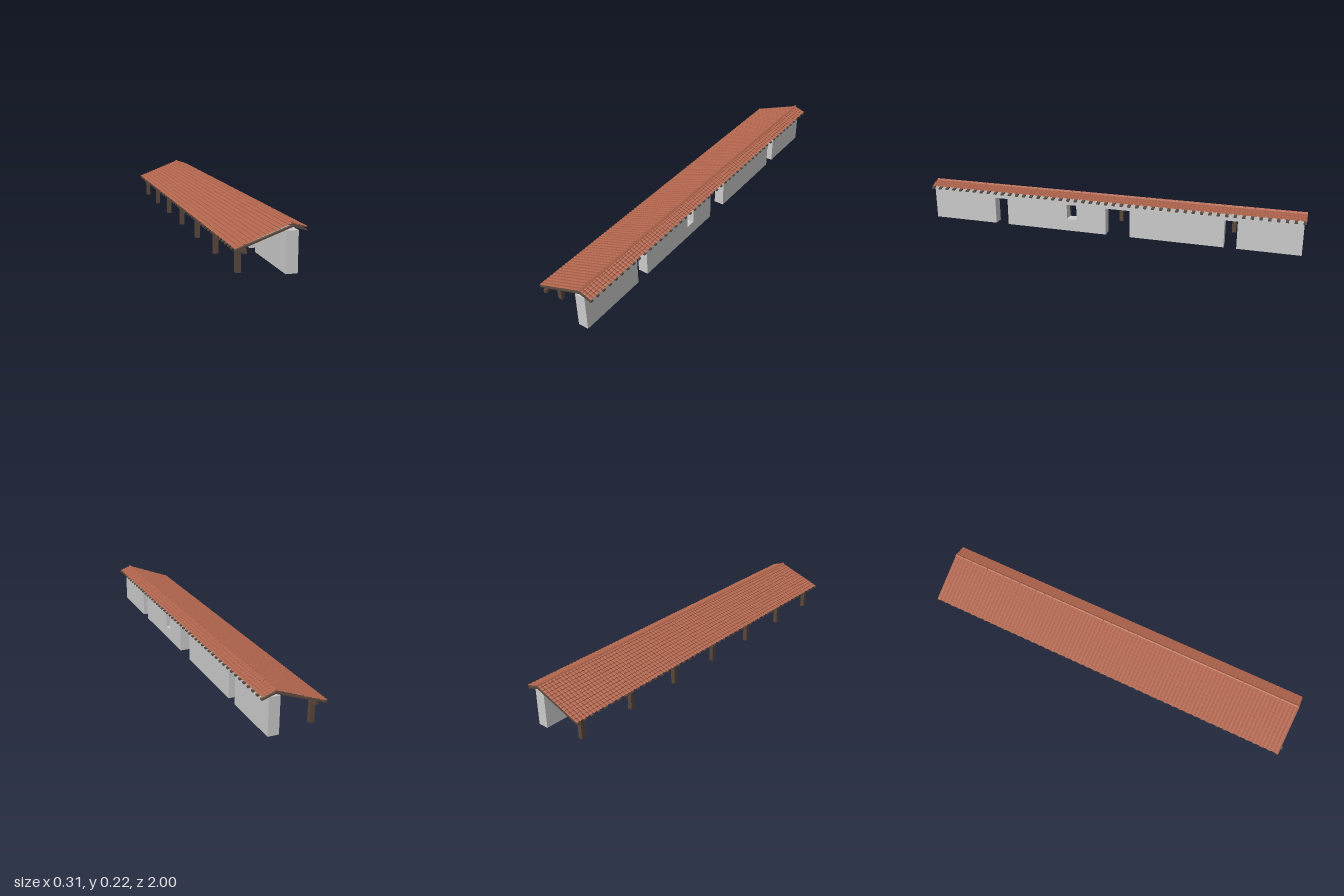
import * as THREE from 'three';

const paint = (color, extra = {}) => new THREE.MeshStandardMaterial({ color, ...extra });

// Flat outline extruded along z between z0 and z1
function slab(points, z0, z1) {
  const shape = new THREE.Shape(points.map(([x, y]) => new THREE.Vector2(x, y)));
  return new THREE.ExtrudeGeometry(shape, { depth: z1 - z0, bevelEnabled: false }).translate(0, 0, z0);
}

// Stepped slope: each course starts flush at its upper edge and lifts at its lower edge
function courses(ridge, eave, count, lift) {
  const pts = [];
  for (let i = 0; i < count; i++) {
    const a = ridge.clone().lerp(eave, i / count);
    const b = ridge.clone().lerp(eave, (i + 1) / count);
    b.y += lift;
    pts.push(a, b);
  }
  return pts;
}

// Barrel-tile sheet: a profile across x, swept along z with rounded ribs
function tileSheet(profile, z0, z1, ribs) {
  const perRib = 4;
  const cols = ribs * perRib, rows = profile.length - 1;
  const geo = new THREE.PlaneGeometry(1, 1, cols, rows);
  const pos = geo.attributes.position;
  for (let r = 0; r <= rows; r++) {
    for (let c = 0; c <= cols; c++) {
      const rib = 0.0035 * Math.sin(Math.PI * (c % perRib) / perRib);
      pos.setXYZ(r * (cols + 1) + c, profile[r].x, profile[r].y + rib, z1 - (z1 - z0) * c / cols);
    }
  }
  geo.computeVertexNormals();
  return geo;
}

export function createModel() {
  const model = new THREE.Group();
  const plaster = paint(0xcccccc);
  const wood = paint(0x5a483c);
  const tile = paint(0xb0644c, { flatShading: true, side: THREE.DoubleSide });
  const add = (name, geo, mat, parent = model) => {
    const mesh = new THREE.Mesh(geo, mat);
    mesh.name = name;
    parent.add(mesh);
    return mesh;
  };

  // Wall with three doorways and one window, drawn as length by height
  const doorTop = 0.144;
  const outline = [[-0.99, 0.18], [-0.99, 0]];
  for (const [a, b] of [[-0.674, -0.61], [-0.123, 0.005], [0.558, 0.63]]) {
    outline.push([a, 0], [a, doorTop], [b, doorTop], [b, 0]);
  }
  outline.push([0.99, 0], [0.99, 0.18]);
  const wall = new THREE.Shape(outline.map(([x, y]) => new THREE.Vector2(x, y)));
  const hole = [[0.166, 0.065], [0.166, doorTop], [0.219, doorTop], [0.219, 0.065]];
  wall.holes.push(new THREE.Path(hole.map(([x, y]) => new THREE.Vector2(x, y))));
  const wallGeo = new THREE.ExtrudeGeometry(wall, { depth: 0.053, bevelEnabled: false });
  add('wall', wallGeo.rotateY(-Math.PI / 2).translate(0.116, 0, 0), plaster);

  // Row of posts carrying a long beam
  const posts = new THREE.Group();
  posts.name = 'posts';
  model.add(posts);
  const postGeo = new THREE.BoxGeometry(0.022, 0.101, 0.022).translate(0, 0.0505, 0);
  for (let i = -3; i <= 3; i++) {
    add('post', postGeo, wood, posts).position.set(-0.1145, 0, -0.018 + 0.309 * i);
  }
  add('beam', new THREE.BoxGeometry(0.016, 0.018, 1.985).translate(-0.114, 0.109, 0.0075), wood);

  // Bent rafters under the tiles
  const rafters = new THREE.Group();
  rafters.name = 'rafters';
  model.add(rafters);
  const rafterGeo = slab([
    [-0.155, 0.107], [0.09, 0.194], [0.153, 0.175],
    [0.153, 0.182], [0.09, 0.201], [-0.155, 0.114],
  ], -0.0075, 0.0075);
  const rafterCount = 49;
  for (let i = 0; i < rafterCount; i++) {
    add('rafter', rafterGeo, wood, rafters).position.z = -0.992 + 1.975 * i / (rafterCount - 1);
  }

  // Tiled slopes on both sides of the ridge
  const ridge = new THREE.Vector2(0.09, 0.209);
  const longSlope = courses(ridge, new THREE.Vector2(-0.155, 0.117), 13, 0.003).reverse();
  const shortSlope = courses(ridge, new THREE.Vector2(0.154, 0.188), 4, 0.003);
  add('longRoofSlope', tileSheet(longSlope, -1, 0.988, 100), tile);
  add('shortRoofSlope', tileSheet(shortSlope, -1, 0.988, 100), tile);

  // Row of ridge caps
  const caps = new THREE.Group();
  caps.name = 'ridgeCaps';
  model.add(caps);
  const capGeo = slab([[-0.008, 0.209], [0.008, 0.209], [0.006, 0.213], [0, 0.2175], [-0.006, 0.213]], 0, 0.0475);
  for (let i = 0; i < 40; i++) {
    add('ridgeCap', capGeo, tile, caps).position.set(0.09, 0, -1 + i * 0.0497);
  }
  return model;
}
